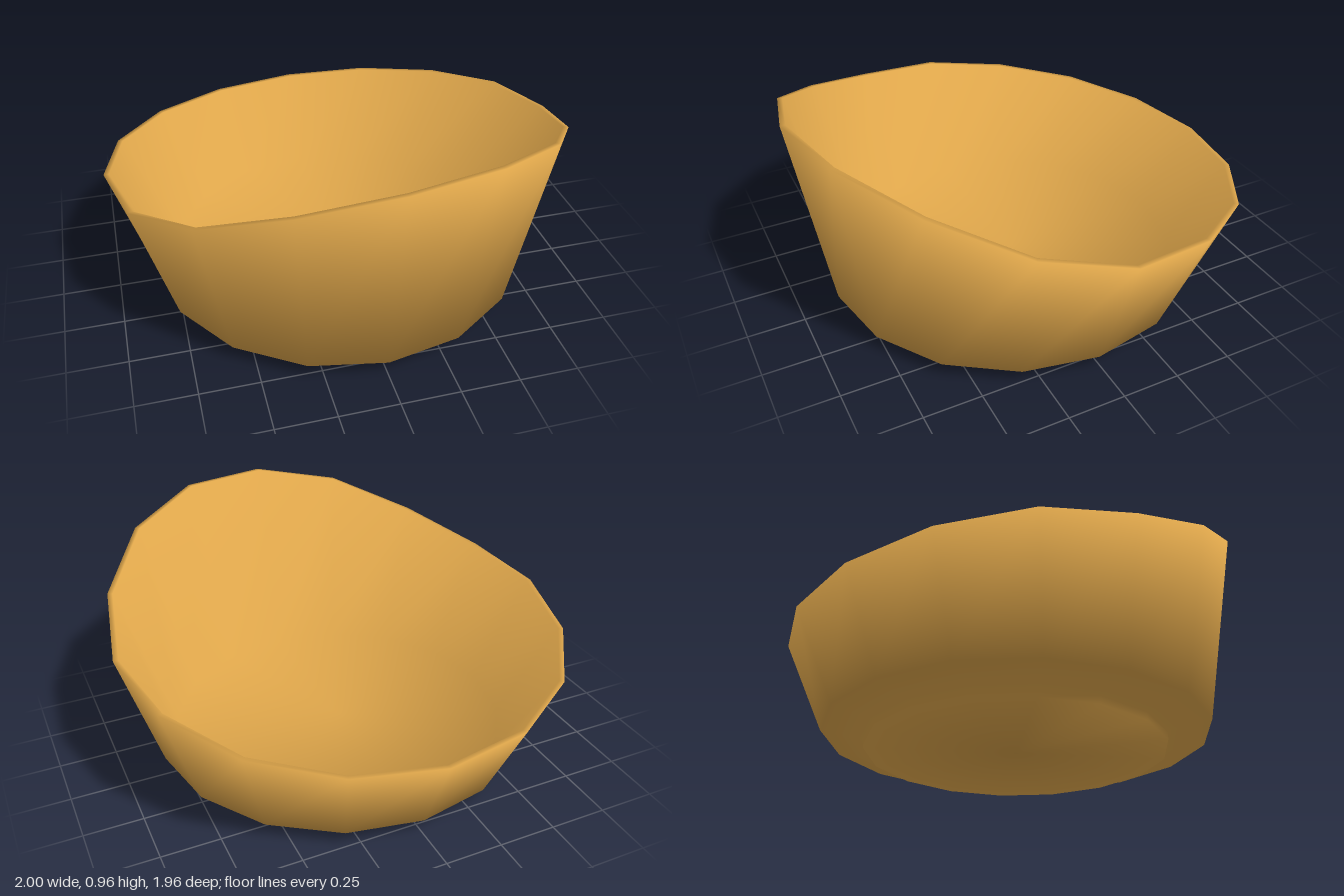
import * as THREE from 'three';

const SIDES = 16;
// Rim height at each corner, from the front round to the back; mirrored about the highest edge
const RIM = [0.96, 0.88, 0.74, 0.63, 0.58, 0.52, 0.475, 0.45];
const rimHeight = (i) => RIM[i === 0 ? 0 : i <= 8 ? i - 1 : 16 - i];

const angle = (i) => (i / SIDES) * Math.PI * 2;

// Level ring, slightly shifted to the front
const level = (r, y) => (i) =>
  new THREE.Vector3(r * Math.sin(angle(i)), y, r * Math.cos(angle(i)) + 0.015);

// Slanted rim ring, inset for the wall thickness
const rim = (inset) => (i) => {
  const s = Math.sin(angle(i)), c = Math.cos(angle(i));
  return new THREE.Vector3((1 - inset) * s, rimHeight(i), (0.982 - inset) * c - 0.02 * s * s);
};

// Soft normals: every face around a corner counts the same, whatever its size
function softNormals(points, index) {
  const normals = points.map(() => new THREE.Vector3());
  const tri = new THREE.Triangle(), n = new THREE.Vector3();
  for (let k = 0; k < index.length; k += 3) {
    const corners = index.slice(k, k + 3);
    tri.set(...corners.map((c) => points[c])).getNormal(n);
    corners.forEach((c) => normals[c].add(n));
  }
  return normals.map((v) => v.normalize());
}

// Joins rings into one closed skin, with a centre point at each end
function skin(rings, startY, endY) {
  const points = [], index = [];
  rings.forEach((ring) => {
    for (let i = 0; i < SIDES; i++) points.push(ring(i));
  });
  const last = (rings.length - 1) * SIDES;
  const start = points.push(new THREE.Vector3(0, startY, 0.015)) - 1;
  const end = points.push(new THREE.Vector3(0, endY, 0.015)) - 1;
  for (let i = 0; i < SIDES; i++) {
    const j = (i + 1) % SIDES;
    index.push(start, j, i, end, last + i, last + j);
    for (let k = 0; k < last; k += SIDES) {
      const a = k + i, b = k + j;
      index.push(a, b, b + SIDES, a, b + SIDES, a + SIDES);
    }
  }
  const geo = new THREE.BufferGeometry().setFromPoints(points);
  const normals = softNormals(points, index).flatMap((v) => v.toArray());
  geo.setAttribute('normal', new THREE.Float32BufferAttribute(normals, 3));
  geo.setIndex(index);
  return geo;
}

export function createModel() {
  const group = new THREE.Group();
  group.name = 'bowl';

  const rings = [
    level(0.645, 0),      // foot
    level(0.645, 0.035),
    level(0.828, 0.07),   // sloping underside
    rim(0),               // outer wall
    rim(0.022),           // thin lip
    level(0.75, 0.075),   // inner wall down to the floor
  ];
  const shell = new THREE.Mesh(
    skin(rings, 0, 0.075),
    new THREE.MeshStandardMaterial({ color: 0xdda54a }),
  );
  shell.name = 'bowlShell';
  group.add(shell);

  return group;
}
